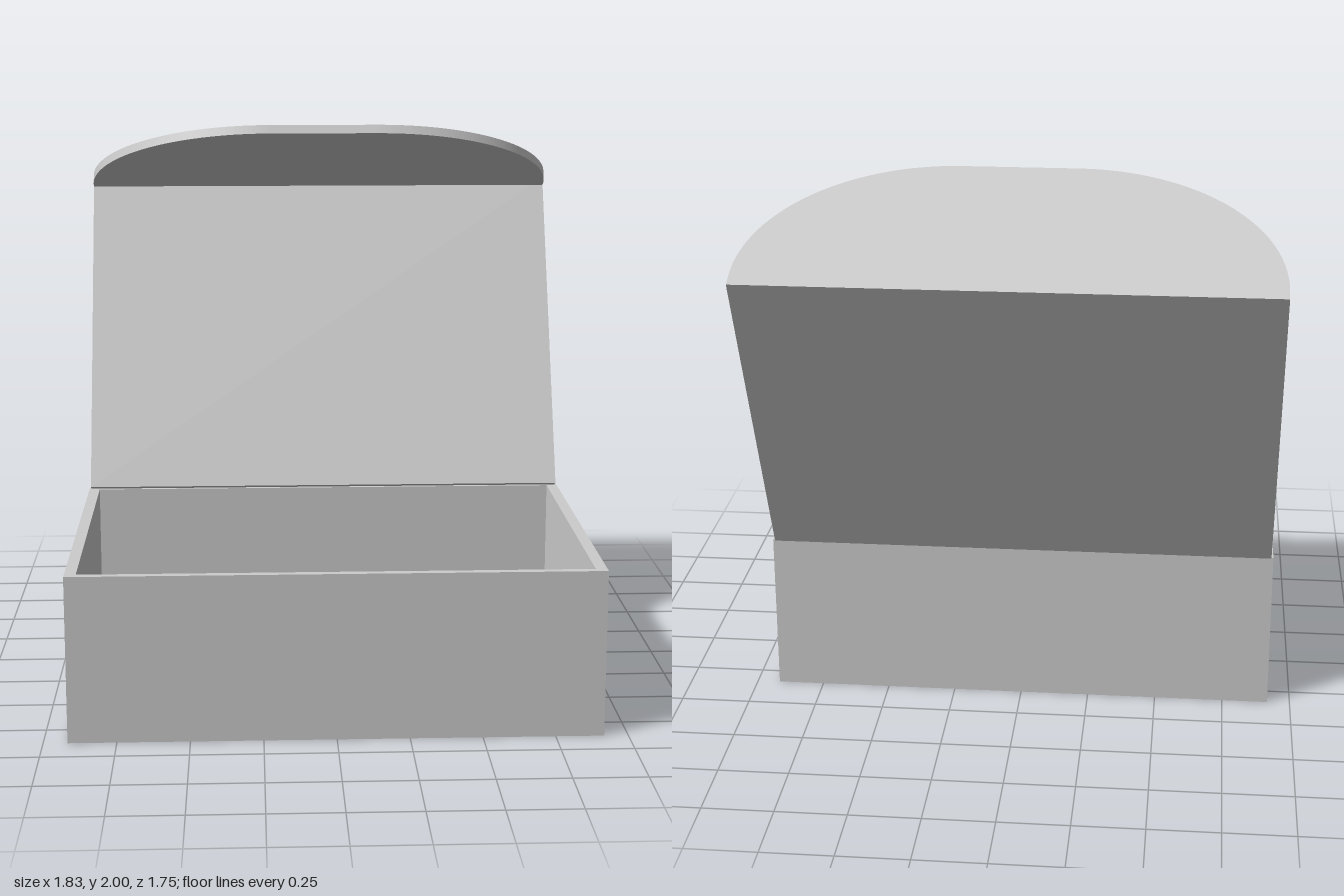
import * as THREE from 'three';

const material = new THREE.MeshStandardMaterial({ color: 0xcccccc, flatShading: true });
const smooth = new THREE.MeshStandardMaterial({ color: 0xcccccc });

function addMesh(parent, name, geometry, mat = material) {
  const mesh = new THREE.Mesh(geometry, mat);
  mesh.name = name;
  parent.add(mesh);
  return mesh;
}

// Rectangle outline, corners in order around the loop
function rectangle(Type, x, y0, y1) {
  return new Type([[-x, y0], [x, y0], [x, y1], [-x, y1]].map(([a, b]) => new THREE.Vector2(a, b)));
}

export function createModel() {
  const model = new THREE.Group();
  model.name = 'openBox';

  const front = 0.877, back = -0.335, height = 0.587;
  const wallX = 0.04, wallZ = 0.027, floorThickness = 0.05, halfWidth = 0.917;

  // Tray: a ring of walls (shape y is -z) around a floor
  const tray = new THREE.Group();
  tray.name = 'tray';
  model.add(tray);
  const ring = rectangle(THREE.Shape, halfWidth, -front, -back);
  ring.holes.push(rectangle(THREE.Path, halfWidth - wallX, -front + wallZ, -back - wallZ));
  addMesh(tray, 'walls', new THREE.ExtrudeGeometry(ring, { depth: height, bevelEnabled: false }))
    .rotation.x = -Math.PI / 2;
  addMesh(tray, 'floor', new THREE.BoxGeometry(2 * (halfWidth - wallX), floorThickness, front - back - 2 * wallZ))
    .position.set(0, floorThickness / 2, (front + back) / 2);

  // Lid: hinged on the back wall; local y runs up the panel, local z faces inward
  const lidX = 0.91, lidLength = 1.27, lidThickness = 0.045;
  const flapReach = 0.635, flapThickness = 0.034;
  const lid = new THREE.Group();
  lid.name = 'lid';
  lid.position.set(0, 0.581, -0.334);
  lid.rotation.x = THREE.MathUtils.degToRad(-25.2);
  model.add(lid);
  addMesh(lid, 'lidPanel', new THREE.BoxGeometry(2 * lidX, lidLength, lidThickness))
    .position.set(0, lidLength / 2, lidThickness / 2);

  // Closing flap: straight lip with two elliptical corners
  const flat = 0.2, reach = flapReach - lidThickness;
  const outline = new THREE.Shape();
  outline.moveTo(-lidX, 0);
  outline.lineTo(lidX, 0);
  outline.absellipse(flat, 0, lidX - flat, reach, 0, Math.PI / 2, false);
  outline.lineTo(-flat, reach);
  outline.absellipse(-flat, 0, lidX - flat, reach, Math.PI / 2, Math.PI, false);
  const flap = addMesh(lid, 'closingFlap',
    new THREE.ExtrudeGeometry(outline, { depth: flapThickness, bevelEnabled: false, curveSegments: 32 }), smooth);
  flap.rotation.x = Math.PI / 2;
  flap.position.set(0, lidLength, lidThickness);

  return model;
}
